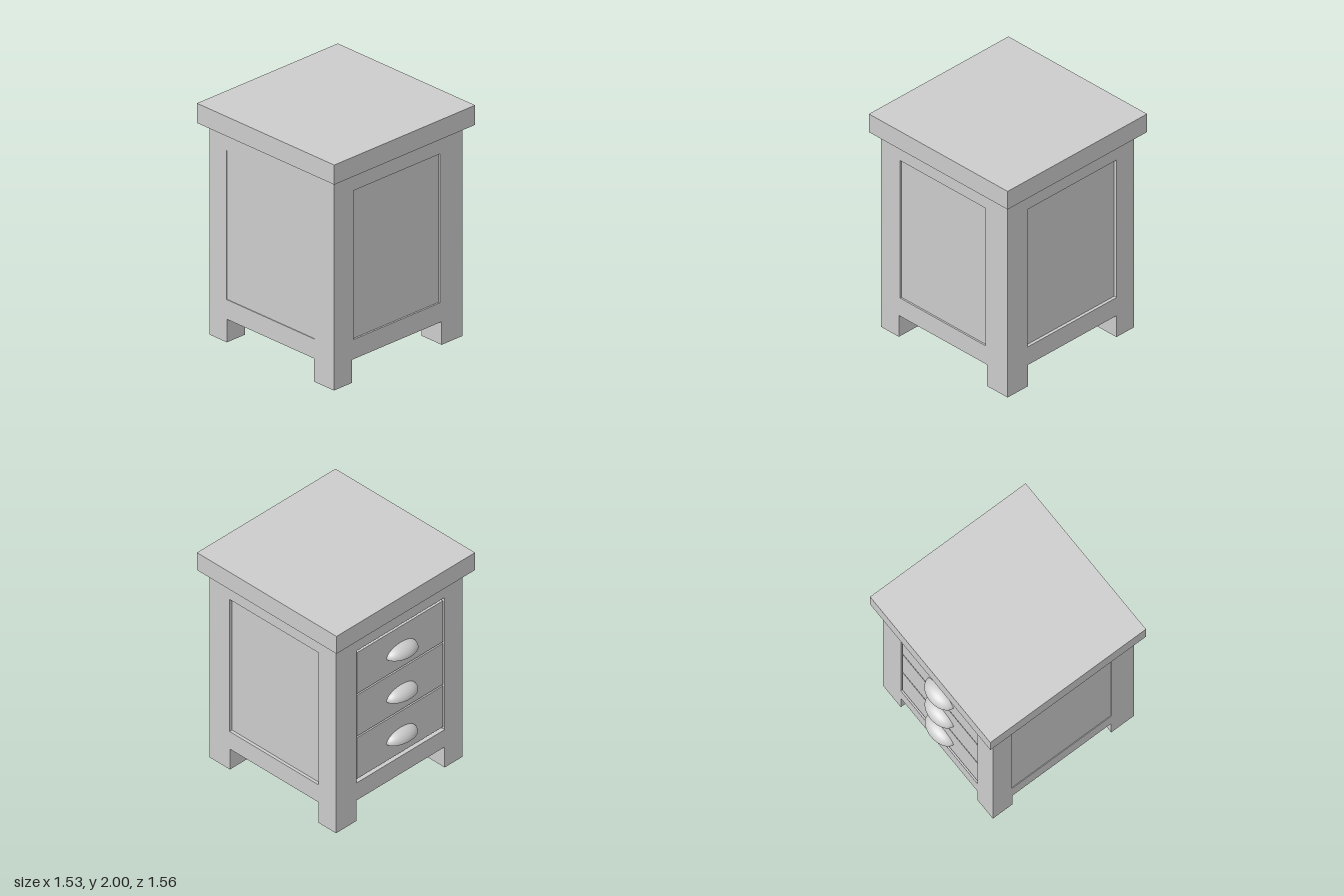
import * as THREE from 'three';

const material = new THREE.MeshStandardMaterial({ color: 0xcccccc });
const shellMaterial = new THREE.MeshStandardMaterial({ color: 0xcccccc, side: THREE.DoubleSide });

// Cabinet extents
const X0 = -0.7, X1 = 0.695, Z0 = -0.68, Z1 = 0.71;
const BASE = 0.2, TOP = 1.83;
// Recess depth of the panel on each side
const DEPTH = { front: 0.015, back: 0.04, right: 0.027, left: 0.006 };

export function createModel() {
  const group = new THREE.Group();

  const add = (name, geometry, mat = material) => {
    const mesh = new THREE.Mesh(geometry, mat);
    mesh.name = name;
    group.add(mesh);
    return mesh;
  };

  // Box given by its minimum and maximum corners
  const box = (name, x0, x1, y0, y1, z0, z1) =>
    add(name, new THREE.BoxGeometry(x1 - x0, y1 - y0, z1 - z0))
      .position.set((x0 + x1) / 2, (y0 + y1) / 2, (z0 + z1) / 2);

  // Flat frame with a rectangular opening
  const frame = (name, u0, u1, hole0, hole1, depth) => {
    const rect = (Type, a, b, c, d) => new Type([
      new THREE.Vector2(a, c), new THREE.Vector2(b, c),
      new THREE.Vector2(b, d), new THREE.Vector2(a, d),
    ]);
    const shape = rect(THREE.Shape, u0, u1, BASE, TOP);
    shape.holes.push(rect(THREE.Path, hole0, hole1, 0.37, 1.66));
    return add(name, new THREE.ExtrudeGeometry(shape, { depth, bevelEnabled: false }));
  };

  // Table top and inner carcass, whose faces form the recessed panels
  box('tableTop', -0.765, 0.765, TOP, 2, -0.755, 0.78);
  box('carcass', X0 + DEPTH.left, X1 - DEPTH.right, BASE, TOP, Z0 + DEPTH.back, Z1 - DEPTH.front);

  // Frames around the panels and the drawer opening
  frame('frontFrame', X0, X1, -0.49, 0.45, DEPTH.front).position.z = Z1 - DEPTH.front;
  frame('drawerFrame', X0, X1, -0.505, 0.47, DEPTH.back).position.z = Z0;
  for (const [name, depth, x] of [
    ['rightFrame', DEPTH.right, X1 - DEPTH.right],
    ['leftFrame', DEPTH.left, X0],
  ]) {
    const side = frame(name, -(Z1 - DEPTH.front), -(Z0 + DEPTH.back), -0.49, 0.49, depth);
    side.rotation.y = Math.PI / 2;
    side.position.x = x;
  }

  // Feet
  for (const [x0, x1] of [[X0, -0.505], [0.47, X1]]) {
    for (const [z0, z1] of [[Z0, -0.487], [0.487, Z1]]) box('foot', x0, x1, 0, BASE, z0, z1);
  }

  // Drawer fronts with cup pulls
  for (let i = 0; i < 3; i++) {
    const y = 0.6 + i * 0.415;
    box('drawerFront', -0.492, 0.457, y - 0.2, y + 0.2, Z0 + 0.008, Z0 + DEPTH.back);

    const cup = new THREE.SphereGeometry(1, 32, 12, Math.PI, Math.PI, 0, Math.PI / 2);
    cup.scale(0.16, 0.085, 0.098 + i * 0.005);
    add('cupPull', cup, shellMaterial).position.set(-0.03, y - 0.04, Z0 + 0.008);
  }

  return group;
}
